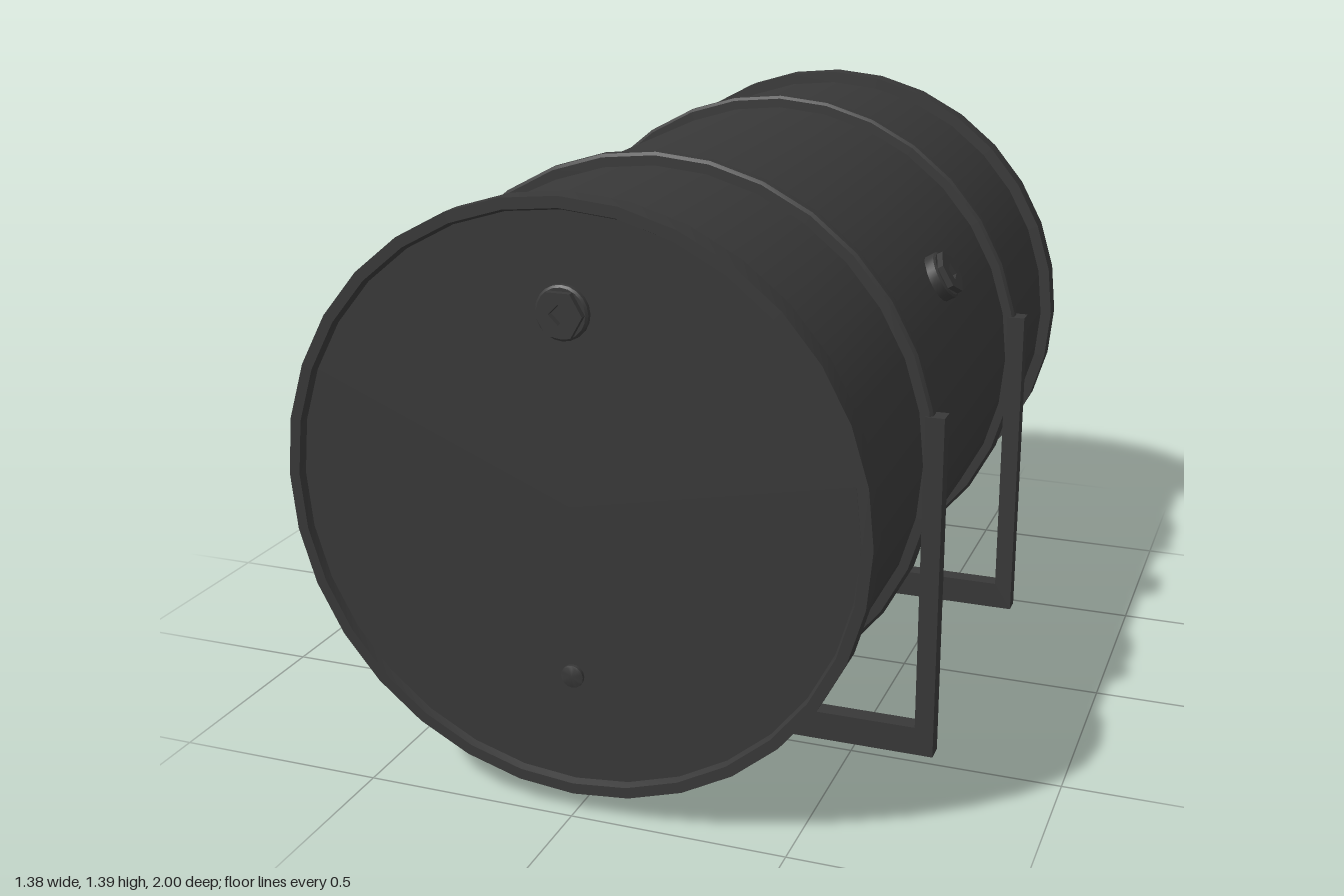
import * as THREE from 'three';
import { toCreasedNormals } from 'three/addons/utils/BufferGeometryUtils.js';

const SIDES = 32;
const CENTRE_Y = 0.722;
const BODY_R = 0.643;
const RIM_R = 0.673;

const darkSteel = new THREE.MeshStandardMaterial({ color: 0x383838 });
darkSteel.name = 'darkSteel';

function part(name, geometry, parent) {
  const mesh = new THREE.Mesh(geometry, darkSteel);
  mesh.name = name;
  parent.add(mesh);
  return mesh;
}

// Revolves [radius, z] points about the z axis, keeping the profile corners sharp
function revolve(points, sides = SIDES) {
  const geometry = new THREE.LatheGeometry(points.map(([r, z]) => new THREE.Vector2(r, z)), sides);
  geometry.rotateX(Math.PI / 2);
  return toCreasedNormals(geometry, 0.5);
}

function polygon(radius, sides, PathType = THREE.Shape) {
  const path = new PathType();
  for (let i = 0; i < sides; i++) {
    const a = (i / sides) * Math.PI * 2;
    const x = Math.cos(a) * radius, y = Math.sin(a) * radius;
    if (i === 0) path.moveTo(x, y);
    else path.lineTo(x, y);
  }
  path.closePath();
  return path;
}

// Threaded plug facing +z: round flange, hexagonal head, square socket
function createPlug(name) {
  const plug = new THREE.Group();
  plug.name = name;
  part('plugFlange', revolve([[0, -0.015], [0.06, -0.015], [0.06, 0.012], [0.055, 0.016], [0, 0.016]], 20), plug);
  const head = polygon(0.054, 6);
  head.holes.push(polygon(0.022, 4, THREE.Path));
  const geometry = new THREE.ExtrudeGeometry(head, { depth: 0.016, bevelEnabled: false });
  part('plugHead', geometry, plug).position.z = 0.015;
  return plug;
}

// U-shaped cradle cut as one flat profile
function createCradle() {
  const shape = new THREE.Shape([
    [-0.69, 0], [0.69, 0], [0.69, 0.84], [0.645, 0.84], [0.645, 0.07],
    [-0.645, 0.07], [-0.645, 0.84], [-0.69, 0.84],
  ].map(([x, y]) => new THREE.Vector2(x, y)));
  const geometry = new THREE.ExtrudeGeometry(shape, { depth: 0.045, bevelEnabled: false });
  return geometry.translate(0, 0, -0.0225);
}

export function createModel() {
  const model = new THREE.Group();
  model.name = 'barrelOnCradles';

  const barrel = new THREE.Group();
  barrel.name = 'barrel';
  barrel.position.y = CENTRE_Y;
  model.add(barrel);

  // Drum shell with raised end rims and recessed lids
  part('drumShell', revolve([
    [0, -0.983], [0.642, -0.983], [0.648, -1], [RIM_R, -1], [RIM_R, -0.945], [BODY_R, -0.945],
    [BODY_R, 0.93], [RIM_R, 0.93], [RIM_R, 0.987], [0.648, 0.987], [0.642, 0.97], [0, 0.97],
  ]), barrel);

  // Hoops, each with a cradle beneath it
  for (const z of [0.446, -0.457]) {
    part('hoop', revolve([
      [0.63, -0.019], [0.666, -0.019], [RIM_R, -0.012],
      [RIM_R, 0.012], [0.666, 0.019], [0.63, 0.019],
    ]), barrel).position.z = z;
    part('cradle', createCradle(), model).position.z = z;
  }

  // Filler plug and small vent on the front lid
  const frontPlug = createPlug('frontPlug');
  frontPlug.position.set(0, 1.15 - CENTRE_Y, 0.969);
  barrel.add(frontPlug);
  part('frontVent', revolve([[0, -0.01], [0.026, -0.01], [0.026, 0.008], [0.021, 0.01], [0, 0.01]], 16), barrel)
    .position.set(0, 0.33 - CENTRE_Y, 0.97);

  // Side plug, 30 degrees above the horizontal on the left
  const sidePlug = createPlug('sidePlug');
  const outward = new THREE.Vector3(Math.cos(Math.PI / 6), Math.sin(Math.PI / 6), 0);
  sidePlug.position.copy(outward).multiplyScalar(0.652);
  sidePlug.position.z = 0.01;
  sidePlug.quaternion.setFromUnitVectors(new THREE.Vector3(0, 0, 1), outward);
  barrel.add(sidePlug);

  return model;
}
